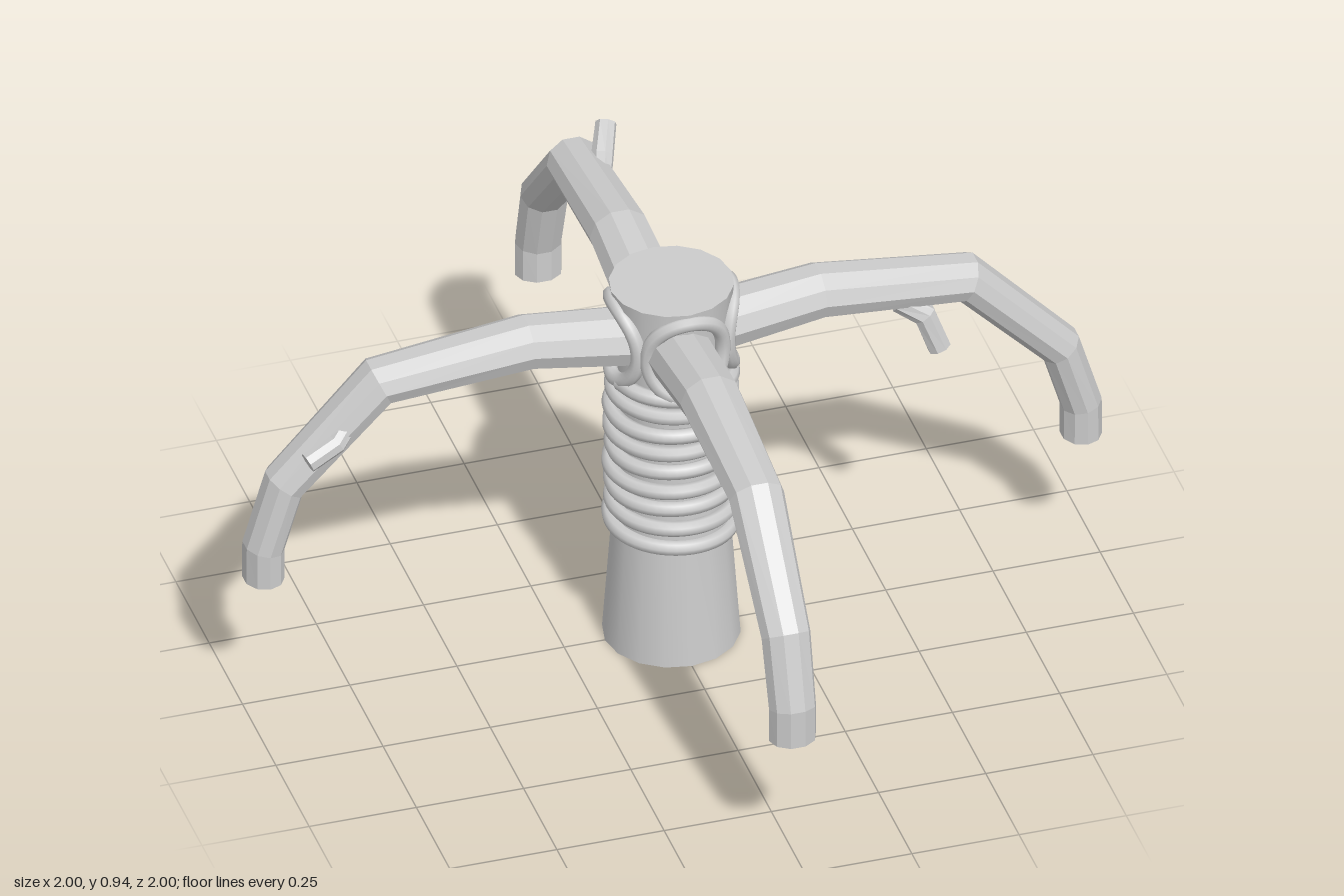
import * as THREE from 'three';
import { toCreasedNormals } from 'three/addons/utils/BufferGeometryUtils.js';

const material = new THREE.MeshStandardMaterial({ color: 0xcccccc });
const facetedMaterial = new THREE.MeshStandardMaterial({ color: 0xcccccc, flatShading: true });

function addMesh(parent, name, geometry, mat = material) {
  const mesh = new THREE.Mesh(geometry, mat);
  mesh.name = name;
  parent.add(mesh);
  return mesh;
}

// Tapered, capped limb along a bent path; each entry is [x, y, z, radius].
function limbGeometry(path, sides, widen = 1) {
  const points = path.map(p => new THREE.Vector3(p[0], p[1], p[2]));
  const positions = [], index = [];
  points.forEach((p, i) => {
    const before = points[Math.max(i - 1, 0)];
    const after = points[Math.min(i + 1, points.length - 1)];
    const tangent = after.clone().sub(before).normalize();
    const side = new THREE.Vector3(0, 0, 1).addScaledVector(tangent, -tangent.z).normalize();
    const up = side.clone().cross(tangent);
    for (let j = 0; j < sides; j++) {
      const a = (j + 0.5) / sides * Math.PI * 2;
      const v = p.clone()
        .addScaledVector(up, Math.cos(a) * path[i][3])
        .addScaledVector(side, Math.sin(a) * path[i][3] * widen);
      positions.push(v.x, v.y, v.z);
    }
  });
  for (let i = 0; i < points.length - 1; i++) {
    for (let j = 0; j < sides; j++) {
      const a = i * sides + j, b = i * sides + (j + 1) % sides;
      index.push(a, b, a + sides, b, b + sides, a + sides);
    }
  }
  const last = (points.length - 1) * sides;
  for (let j = 1; j < sides - 1; j++) {
    index.push(0, j + 1, j, last, last + j, last + j + 1);
  }
  const geometry = new THREE.BufferGeometry();
  geometry.setAttribute('position', new THREE.Float32BufferAttribute(positions, 3));
  geometry.setIndex(index);
  geometry.computeVertexNormals();
  return geometry;
}

// Rope following a list of points, with closed ends when it is not a loop.
function addRope(parent, name, points, radius, segments, closed) {
  const curve = new THREE.CatmullRomCurve3(points, closed);
  addMesh(parent, name, new THREE.TubeGeometry(curve, segments, radius, 8, closed));
  if (closed) return;
  for (const t of [0, 1]) {
    const cap = addMesh(parent, name + 'End', new THREE.CircleGeometry(radius, 8));
    const outward = curve.getTangentAt(t).multiplyScalar(t ? 1 : -1);
    cap.position.copy(curve.getPointAt(t));
    cap.quaternion.setFromUnitVectors(new THREE.Vector3(0, 0, 1), outward);
  }
}

const aroundTrunk = (angle, radius, y) =>
  new THREE.Vector3(Math.cos(angle) * radius, y, Math.sin(angle) * radius);

export function createModel() {
  const model = new THREE.Group();
  model.name = 'boundBranchStand';

  // Central post, slightly waisted and flared at the top
  const profile = [[0, 0], [0.155, 0], [0.135, 0.28], [0.126, 0.45], [0.124, 0.78], [0.14, 0.94], [0, 0.94]]
    .map(p => new THREE.Vector2(p[0], p[1]));
  addMesh(model, 'post', toCreasedNormals(new THREE.LatheGeometry(profile, 16), 0.7));

  // Four drooping arms
  const armPath = [
    [0.02, 0.80, 0, 0.066], [0.12, 0.82, 0, 0.066], [0.34, 0.85, 0, 0.061],
    [0.685, 0.815, 0, 0.055], [0.905, 0.585, 0, 0.049], [0.953, 0.425, 0, 0.047], [0.953, 0.34, 0, 0.047],
  ];
  const armGeometry = limbGeometry(armPath, 10, 1.16);
  ['leftArm', 'backArm', 'rightArm', 'frontArm'].forEach((name, i) => {
    const arm = addMesh(model, name, armGeometry, facetedMaterial);
    arm.rotation.y = i * Math.PI / 2;
    arm.position.set(i % 2 ? -0.014 : 0, 0, i % 2 ? 0 : 0.005);
  });

  // Short cut twigs on three of the arms
  const twigs = {
    leftTwig: [[0.52, 0.80, 0.03, 0.026], [0.575, 0.765, 0.05, 0.028], [0.605, 0.68, 0.065, 0.027]],
    rightTwig: [[-0.76, 0.735, 0.03, 0.022], [-0.80, 0.705, 0.06, 0.024], [-0.87, 0.675, 0.072, 0.024]],
    backTwig: [[0.015, 0.83, -0.57, 0.022], [0.035, 0.855, -0.63, 0.026], [0.062, 0.9, -0.69, 0.024]],
  };
  for (const [name, path] of Object.entries(twigs)) {
    addMesh(model, name, limbGeometry(path, 8), facetedMaterial);
  }

  // Rope coil wound around the post, with a little unevenness
  const coil = [];
  const turns = 8.6, steps = 138;
  for (let i = 0; i <= steps; i++) {
    const t = i / steps, a = t * turns * Math.PI * 2 - 0.9;
    const y = 0.29 + 0.43 * t + 0.012 * Math.sin(a + 1) * Math.sin(Math.PI * t);
    coil.push(aroundTrunk(a, 0.136 + 0.003 * Math.sin(a * 0.37), y));
  }
  addRope(model, 'ropeCoil', coil, 0.018, 420, false);

  // Rope loops that bind each arm to the post
  for (let k = 0; k < 4; k++) {
    const loop = [];
    for (let i = 0; i < 20; i++) {
      const a = i / 20 * Math.PI * 2;
      loop.push(aroundTrunk(k * Math.PI / 2 + 0.7 * Math.cos(a), 0.136, 0.815 + 0.1 * Math.sin(a)));
    }
    addRope(model, 'armLashing', loop, 0.018, 60, true);
  }
  return model;
}
